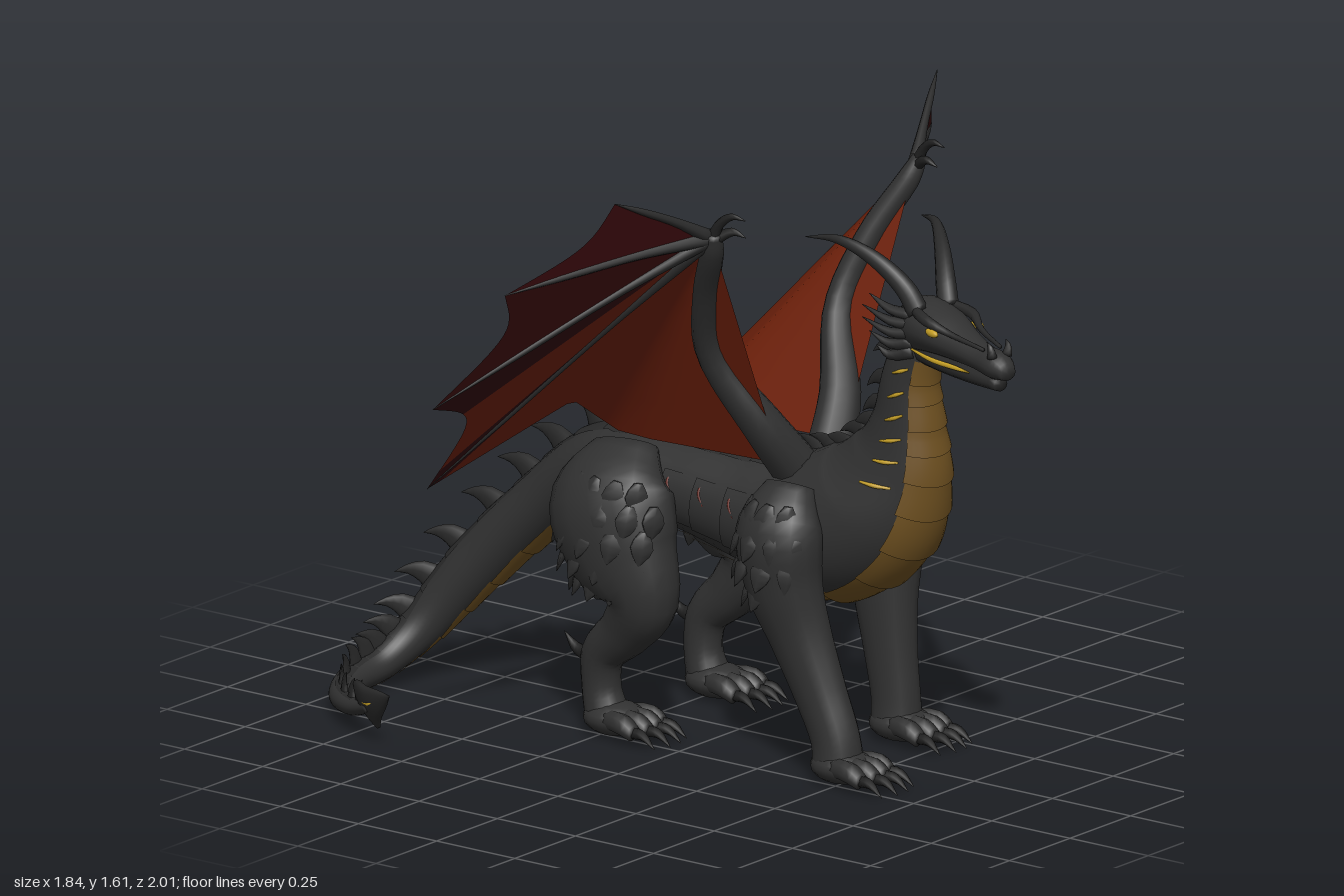
import * as THREE from 'three';
import { mergeGeometries } from 'three/addons/utils/BufferGeometryUtils.js';

const mat = (name, color, side = THREE.FrontSide) => {
  const m = new THREE.MeshStandardMaterial({ color, side });
  m.name = name;
  return m;
};
const V = (x, y, z) => new THREE.Vector3(x, y, z);
const lerp = THREE.MathUtils.lerp;

// Frames along a smooth path; each point is [x, y, z, side radius, dorsal radius].
// From index "level" on, the dorsal side is kept upright.
function frames(pts, n, S0, level = Infinity) {
  const path = new THREE.CatmullRomCurve3(pts.map(p => V(p[0], p[1], p[2])));
  const radii = new THREE.CatmullRomCurve3(pts.map(p => V(p[3], p[4] ?? p[3], 0)), false, 'catmullrom', 0.5);
  const out = [];
  let S = S0 ? S0.clone() : V(1, 0, 0);
  for (let k = 0; k <= n; k++) {
    const T = path.getTangent(k / n);
    if (!S0 && k === 0 && Math.abs(T.x) > 0.9) S = V(0, 1, 0);
    if (k >= level) S.crossVectors(T, V(0, 1, 0));
    S.addScaledVector(T, -S.dot(T)).normalize();
    const r = radii.getPoint(k / n);
    out.push({ c: path.getPoint(k / n), T, S: S.clone(), D: S.clone().cross(T),
      rw: Math.max(r.x, 0.0006), rh: Math.max(r.y, 0.0006) });
  }
  return out;
}
const surface = (f, a, s) => f.c.clone().addScaledVector(f.S, Math.cos(a) * f.rw * s).addScaledVector(f.D, Math.sin(a) * f.rh * s);

// Skin over frames k0..k1: a closed capped tube, or an open arc from a0 to a1
function skin(fr, { k0 = 0, k1 = fr.length - 1, a0 = null, a1 = 0, seg = 10, s0 = 1, s1 = 1 } = {}) {
  const closed = a0 === null, cols = closed ? seg : seg + 1, pos = [], idx = [], rows = k1 - k0 + 1;
  for (let k = k0; k <= k1; k++) {
    const s = lerp(s0, s1, (k - k0) / (rows - 1));
    for (let j = 0; j < cols; j++) {
      const a = closed ? j / seg * Math.PI * 2 : lerp(a0, a1, j / seg);
      pos.push(...surface(fr[k], a, s).toArray());
    }
  }
  for (let i = 0; i < rows - 1; i++) for (let j = 0; j < seg; j++) {
    const j2 = (j + 1) % cols, a = i * cols + j, b = i * cols + j2;
    idx.push(a, a + cols, b, b, a + cols, b + cols);
  }
  if (closed) {
    const last = (rows - 1) * cols, c = rows * cols;
    pos.push(...fr[k0].c.toArray(), ...fr[k1].c.toArray());
    for (let j = 0; j < seg; j++) {
      const j2 = (j + 1) % seg;
      idx.push(c, j, j2, c + 1, last + j2, last + j);
    }
  }
  return build(pos, idx);
}
function build(pos, idx) {
  const g = new THREE.BufferGeometry();
  g.setAttribute('position', new THREE.Float32BufferAttribute(pos, 3));
  g.setIndex(idx);
  g.computeVertexNormals();
  return g;
}
const limb = (pts, n = 12, seg = 10, S0) => skin(frames(pts, n, S0), { seg });
const ball = (x, y, z, rx, ry, rz) =>
  new THREE.SphereGeometry(1, 16, 10).scale(rx, ry, rz).translate(x, y, z).deleteAttribute('uv');
function add(group, name, geos, material) {
  const m = new THREE.Mesh(Array.isArray(geos) ? mergeGeometries(geos) : geos, material);
  m.name = name;
  group.add(m);
}

export function createModel() {
  const M = {
    hide: mat('charcoal hide', 0x313131), plate: mat('dark scale', 0x292929), claw: mat('claw', 0x1f1f1f),
    gold: mat('gold belly', 0x6e5020), ember: mat('ember membrane', 0x70210b, THREE.DoubleSide),
    maroon: mat('maroon membrane', 0x34090b, THREE.DoubleSide), glow: mat('yellow glow', 0xc9a227),
    crack: mat('red crack', 0x6b1d10),
  };
  const root = new THREE.Group();
  root.name = 'dragon';

  // Neck, torso and tail in one sweep
  const spine = frames([
    [-.06, 1.18, .63, .06, .062], [-.055, 1.05, .59, .07, .076], [-.045, .93, .575, .085, .1],
    [-.035, .82, .545, .11, .142], [-.025, .69, .46, .16, .187], [-.02, .605, .31, .18, .193],
    [-.02, .615, .12, .165, .16], [-.02, .64, -.08, .155, .133], [-.015, .65, -.27, .15, .118],
    [-.01, .63, -.42, .125, .1], [-.025, .495, -.6, .098, .085], [-.075, .3, -.79, .078, .076],
    [-.15, .14, -.905, .058, .058], [-.25, .065, -.95, .048, .046], [-.36, .045, -.953, .042, .04],
    [-.5, .045, -.885, .033, .031], [-.6, .06, -.77, .025, .023], [-.66, .092, -.67, .016, .015]], 170, null, 85);
  add(root, 'body', skin(spine, { seg: 28 }), M.hide);

  // Overlapping belly plates, back plates, thin slashes and seams
  const belly = [], back = [], seams = [], gills = [], ribs = [];
  const mid = -Math.PI / 2;
  for (let k = 4; k < 140; k += 5) {
    const w = k < 25 ? 1 : k < 50 ? lerp(1, .68, (k - 25) / 25) : k < 90 ? .66 : .8;
    belly.push(skin(spine, { k0: k, k1: k + 5, a0: mid - w, a1: mid + w, seg: 12, s0: 1.005, s1: 1.065 }));
  }
  for (let k = 46; k < 160; k += 5) {
    back.push(skin(spine, { k0: k, k1: k + 5, a0: -mid - .5, a1: -mid + .5, seg: 8, s0: 1.0, s1: 1.045 }));
    if (k > 50 && k < 95) seams.push(skin(spine, { k0: k + 1, k1: k + 4, a0: -mid - .05, a1: -mid + .05, seg: 2, s0: 1.03, s1: 1.05 }));
  }
  for (const flip of [0, 1]) {
    const arc = a => flip ? Math.PI - a : a;
    const line = (k, dk, a0, a1, r) => limb([0, .5, 1].map(t =>
      [...surface(spine[Math.round(k + dk * t)], arc(lerp(a0, a1, t)), 1.005).toArray(), r * (1 - Math.abs(t - .5))]), 8, 5);
    for (let k = 6; k < 32; k += 5) gills.push(line(k, 2, -.4, .15, .006));
    for (let k = 60; k < 80; k += 5) seams.push(line(k, 1, .1, .5, .005));
    for (let k = 57; k < 80; k += 5) {
      const [a0, a1] = flip ? [Math.PI - .55, Math.PI + .5] : [-.5, .55];
      ribs.push(skin(spine, { k0: k, k1: k + 5, a0, a1, seg: 8, s0: 1.0, s1: 1.03 }));
    }
  }
  add(root, 'bellyPlates', belly, M.gold);
  add(root, 'backPlates', back, M.plate);
  add(root, 'flankPlates', ribs, M.hide);
  add(root, 'redSeams', seams, M.crack);
  add(root, 'neckSlashes', gills, M.glow);

  // Swept-back fins along neck, back and tail
  const fins = [];
  const fin = (k, h) => {
    const f = spine[k];
    const at = (up, along, a, b) => [...f.c.clone().addScaledVector(f.D, f.rh * .95 + up * h)
      .addScaledVector(f.T, along * h).toArray(), a * h, b * h];
    fins.push(limb([at(-.2, 0, .16, .5), at(.35, .12, .12, .36), at(.75, .4, .06, .16), at(1, .75, .01, .01)], 6, 8, f.S));
  };
  for (let k = 6; k < 50; k += 6) fin(k, .06);
  for (let k = 52; k < 88; k += 6) fin(k, .028);
  for (let k = 89; k < 168; k += 5) fin(k, lerp(.09, .05, (k - 89) / 76));
  add(root, 'spineFins', fins, M.plate);

  // Tail spade
  add(root, 'tailSpade', limb([[-.64, .08, -.705, .012, .013], [-.65, .092, -.69, .015, .07],
    [-.67, .108, -.655, .014, .048], [-.69, .13, -.61, .01, .024], [-.71, .15, -.57, .001, .001]], 14, 10), M.plate);
  add(root, 'tailGlow', limb([[-.655, .1, -.71, .001], [-.668, .105, -.66, .018, .008], [-.69, .13, -.61, .001]], 6, 6), M.glow);

  // Head, turned towards its right
  const head = new THREE.Group();
  head.name = 'head';
  head.position.set(-.05, 1.2, .62);
  head.rotation.y = -.34;
  root.add(head);
  add(head, 'skull', limb([[0, -.02, -.06, .045, .05], [0, 0, .02, .075, .074], [0, 0, .11, .075, .06],
    [0, -.012, .2, .054, .044], [0, -.022, .29, .041, .034], [0, -.026, .36, .041, .036], [0, -.036, .405, .022, .02]], 24, 16), M.hide);
  add(head, 'jaw', limb([[0, -.055, -.02, .05, .045], [0, -.066, .12, .053, .034], [0, -.072, .26, .036, .026],
    [0, -.073, .37, .02, .018]], 14, 12), M.plate);
  const horns = [], spikes = [], mouth = [], eyes = [], ridges = [];
  for (const s of [1, -1]) {
    horns.push(limb([[s * .045, .045, .055, .028], [s * .06, .1, .02, .026], [s * .1, .165, -.06, .02],
      [s * .145, .2, -.16, .012], [s * .175, .185, -.27, .001]], 20, 10));
    for (let i = 0; i < 5; i++) {
      const y = .045 - i * .03, l = .12 - Math.abs(i - 1.5) * .02;
      spikes.push(limb([[s * .052, y * .8, .04, .018], [s * .088, y, -.01, .013], [s * (.08 + l * .42), y * 1.1 + .03, .03 - l, .001]], 6, 7));
    }
    ridges.push(limb([[s * .045, .055, .02, .012], [s * .068, .045, .13, .014], [s * .045, .025, .21, .008], [s * .025, .012, .33, .005]], 12, 8));
    ridges.push(limb([[s * .022, 0, .365, .014], [s * .026, .022, .365, .009], [s * .028, .038, .35, .001]], 5, 7));
    mouth.push(limb([[s * .062, -.05, .05, .003], [s * .06, -.056, .14, .006], [s * .045, -.058, .22, .006], [s * .038, -.058, .28, .002]], 10, 6));
    eyes.push(ball(s * .069, .02, .155, .01, .011, .026));
  }
  add(head, 'horns', horns, M.plate);
  add(head, 'cheekSpikes', spikes, M.plate);
  add(head, 'browAndNose', ridges, M.plate);
  add(head, 'mouthGlow', mouth, M.glow);
  add(head, 'eyes', eyes, M.glow);

  // Paw with four toes and claws
  const X = V(1, 0, 0), off = -.018;
  function paw(name, x, z) {
    const toes = [ball(x, .045, z + .015, .073, .045, .09)], claws = [];
    for (let i = 0; i < 4; i++) {
      const d = (i - 1.5) / 1.5, tx = x + d * .058, reach = .145 - Math.abs(d) * .025;
      toes.push(limb([[x + d * .04, .05, z + .02, .026], [tx, .05, z + reach * .7, .027], [tx, .03, z + reach, .02]], 6, 8));
      claws.push(limb([[tx, .036, z + reach - .01, .016], [tx + d * .005, .034, z + reach + .03, .012], [tx + d * .008, .006, z + reach + .07, .001]], 6, 7));
    }
    add(root, name + 'Paw', toes, M.hide);
    add(root, name + 'Claws', claws, M.claw);
  }
  // Rows of pointed scales lying on the outer side of a limb
  function scales(name, s, [cx, cy, cz], [rx, ry, rz], rows, cols) {
    const list = [];
    for (let r = 0; r < rows; r++) for (let c = 0; c < cols; c++) {
      const e = lerp(.7, -.75, r / (rows - 1)), a = lerp(-1.25, 1.1, (c + (r % 2) * .5) / (cols - .5));
      const nrm = V(s * Math.cos(e) * Math.cos(a), Math.sin(e), Math.cos(e) * Math.sin(a));
      const p = V(cx + nrm.x * rx, cy + nrm.y * ry, cz + nrm.z * rz);
      const at = (o, d, w, t) => [p.x + nrm.x * o, p.y - d, p.z + nrm.z * o - d * .25, t, w];
      list.push(limb([at(-.012, -.03, .012, .008), at(.002, .005, .034, .011), at(.008, .035, .022, .007), at(.012, .06, .001, .001)], 5, 6,
        V(nrm.x, 0, nrm.z).normalize()));
    }
    add(root, name, list, M.hide);
  }

  for (const s of [1, -1]) {
    const side = s > 0 ? 'left' : 'right', x = v => s * v + off;
    // Front leg
    const fz = s > 0 ? .365 : .48, z = t => lerp(.31, fz, t);
    add(root, side + 'FrontLeg', limb([[x(.16), .74, .3, .05, .07], [x(.212), .64, .305, .09, .12], [x(.212), .5, z(.05), .085, .11],
      [x(.2), .37, z(.3), .07, .09], [x(.195), .23, z(.65), .06, .075], [x(.195), .11, z(.95), .058, .068],
      [x(.195), .04, fz, .064, .07]], 28, 16, X), M.hide);
    paw(side + 'Front', x(.195), fz);
    scales(side + 'ShoulderScales', s, [x(.21), .59, .305], [.09, .15, .115], 4, 4);
    // Hind leg with heel spur
    add(root, side + 'HindLeg', limb([[x(.13), .74, -.25, .05, .1], [x(.21), .63, -.235, .105, .175], [x(.23), .5, -.18, .102, .16],
      [x(.23), .38, -.12, .078, .1], [x(.22), .29, -.175, .06, .072], [x(.215), .21, -.255, .05, .058],
      [x(.21), .12, -.265, .048, .052], [x(.21), .04, -.245, .058, .06]], 32, 16, X), M.hide);
    paw(side + 'Hind', x(.21), -.235);
    add(root, side + 'HeelSpur', limb([[x(.215), .2, -.28, .024], [x(.215), .205, -.335, .016], [x(.215), .245, -.38, .001]], 8, 8), M.claw);
    scales(side + 'ThighScales', s, [x(.22), .55, -.2], [.103, .18, .17], 5, 5);

    // Wing arm, wrist claws and fingers
    const wx = v => s * v - .005, lift = s * .02;
    const W = [wx(.42), 1.44, .24];
    add(root, side + 'WingArm', limb([[wx(.06), .74, .24, .065], [wx(.16), .88, .2, .055], [wx(.265), 1.08, .115, .038],
      [wx(.34), 1.26, .16, .034], [wx(.405), 1.4, .23, .03], [wx(.425), 1.455, .25, .02]], 24, 12), M.hide);
    add(root, side + 'WristClaws', [
      limb([[W[0], 1.43, .24, .018], [W[0], 1.48, .265, .013], [wx(.415), 1.505, .3, .009], [wx(.41), 1.5, .34, .001]], 10, 8),
      limb([[W[0], 1.43, .24, .016], [wx(.4), 1.46, .29, .011], [wx(.395), 1.45, .33, .001]], 8, 8)], M.claw);
    const tips = [[wx(.665), 1.585 + lift, .12], [wx(.88), 1.36 + lift, -.065], [wx(.92), 1.012, -.265], [wx(.73), .728, -.43]];
    add(root, side + 'WingFingers', tips.map(t => limb([[...W, .02], [lerp(W[0], t[0], .35), lerp(W[1], t[1], .35) + .008, lerp(W[2], t[2], .35), .012],
      [lerp(W[0], t[0], .7), lerp(W[1], t[1], .7) + .005, lerp(W[2], t[2], .7), .009], [...t, .001]], 10, 8)), M.plate);

    // Membrane panels fan out from the wrist to a scalloped edge
    const wrist = V(...W);
    const panel = (edge, dip, u0, u1) => {
      const nu = 14, nv = 6, pos = [], idx = [];
      for (let i = 0; i <= nu; i++) {
        const u = lerp(u0, u1, i / nu), q = u * (edge.length - 1), m = Math.min(Math.floor(q), edge.length - 2);
        const e = V(...edge[m]).lerp(V(...edge[m + 1]), q - m).lerp(wrist, dip * Math.sin(Math.PI * u));
        for (let j = 0; j <= nv; j++) pos.push(...wrist.clone().lerp(e, Math.max(j / nv, .01)).toArray());
      }
      for (let i = 0; i < nu; i++) for (let j = 0; j < nv; j++) {
        const a = i * (nv + 1) + j, b = a + nv + 1;
        idx.push(a, b, a + 1, a + 1, b, b + 1);
      }
      return build(pos, idx);
    };
    const inner = [tips[3], [wx(.49), .895, -.24], [wx(.34), .9, -.265], [wx(.14), .765, -.26], [wx(.13), .775, .235]];
    add(root, side + 'OuterMembrane', [panel([tips[0], tips[1]], .14, 0, 1), panel([tips[1], tips[2]], .14, 0, 1),
      panel([tips[2], tips[3]], .13, 0, .35), panel([tips[2], tips[3]], .13, .9, 1), panel(inner, 0, 0, .03)], M.maroon);
    add(root, side + 'InnerMembrane', [panel([tips[2], tips[3]], .13, .35, .9), panel(inner, 0, .03, 1)], M.ember);
  }
  return root;
}
